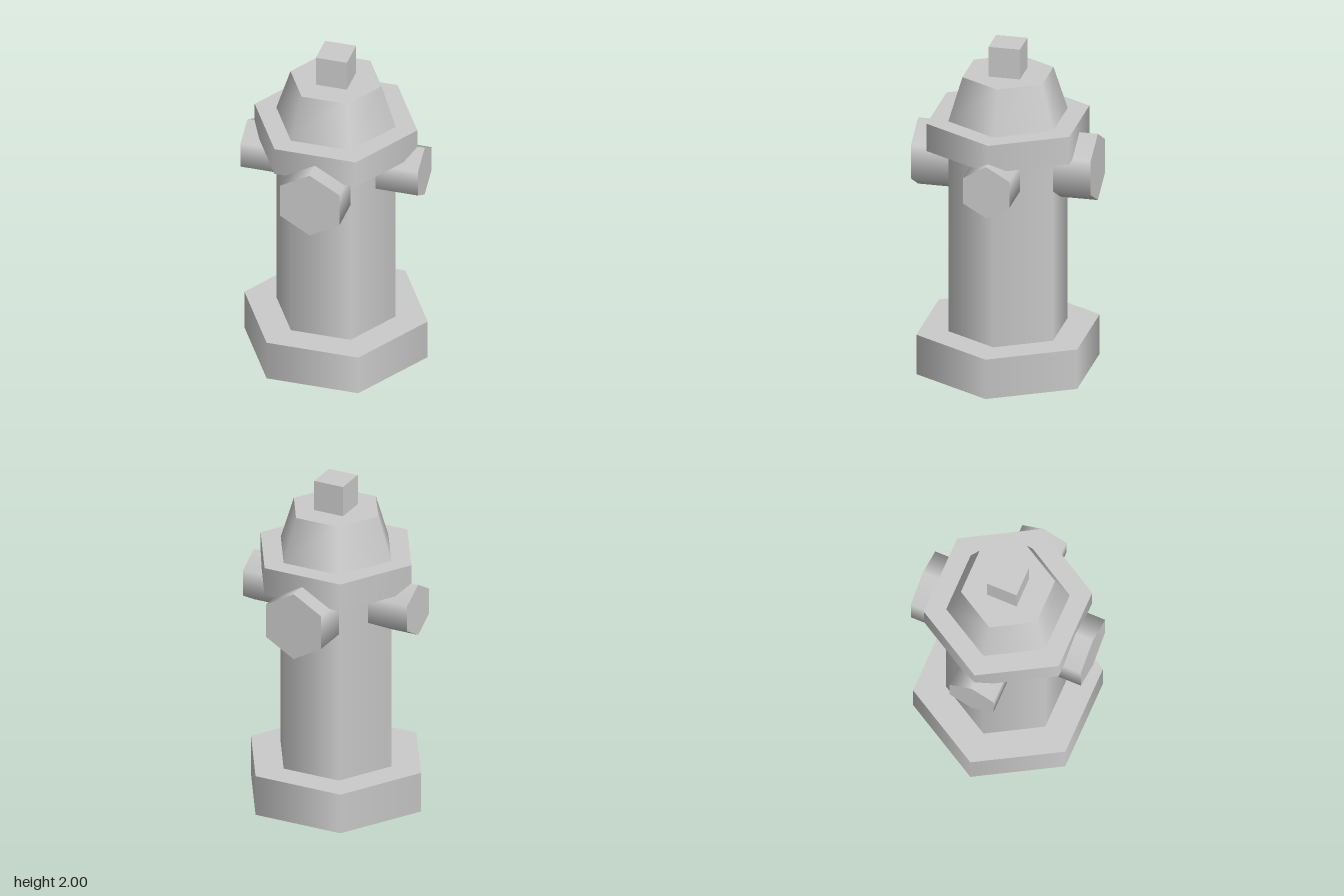
import * as THREE from 'three';

const material = new THREE.MeshStandardMaterial({ color: 0xcccccc });

export function createModel() {
  const group = new THREE.Group();

  const add = (name, geometry, y) => {
    const mesh = new THREE.Mesh(geometry, material);
    mesh.name = name;
    mesh.position.y = y;
    group.add(mesh);
  };

  // Six-sided prism with corners on the x axis
  const hex = (rTop, rBottom, height) =>
    new THREE.CylinderGeometry(rTop, rBottom, height, 6).rotateY(Math.PI / 6);

  // Upright stack: [name, top radius, bottom radius, bottom y, top y]
  const stack = [
    ['base', 0.55, 0.55, 0, 0.245],
    ['barrel', 0.358, 0.358, 0.245, 1.38],
    ['collar', 0.488, 0.488, 1.38, 1.55],
    ['bonnet', 0.273, 0.358, 1.55, 1.815],
  ];
  for (const [name, rTop, rBottom, y0, y1] of stack) {
    add(name, hex(rTop, rBottom, y1 - y0), (y0 + y1) / 2);
  }

  // Square operating nut on top
  add('topNut', new THREE.BoxGeometry(0.186, 0.185, 0.186), 1.9075);

  // Outlets run straight through the barrel, corners pointing up and down
  add('frontBackOutlets', new THREE.CylinderGeometry(0.206, 0.206, 1.064, 6).rotateX(Math.PI / 2), 1.276);
  add('sideOutlets', hex(0.159, 0.159, 1.064).rotateZ(Math.PI / 2), 1.276);

  return group;
}
